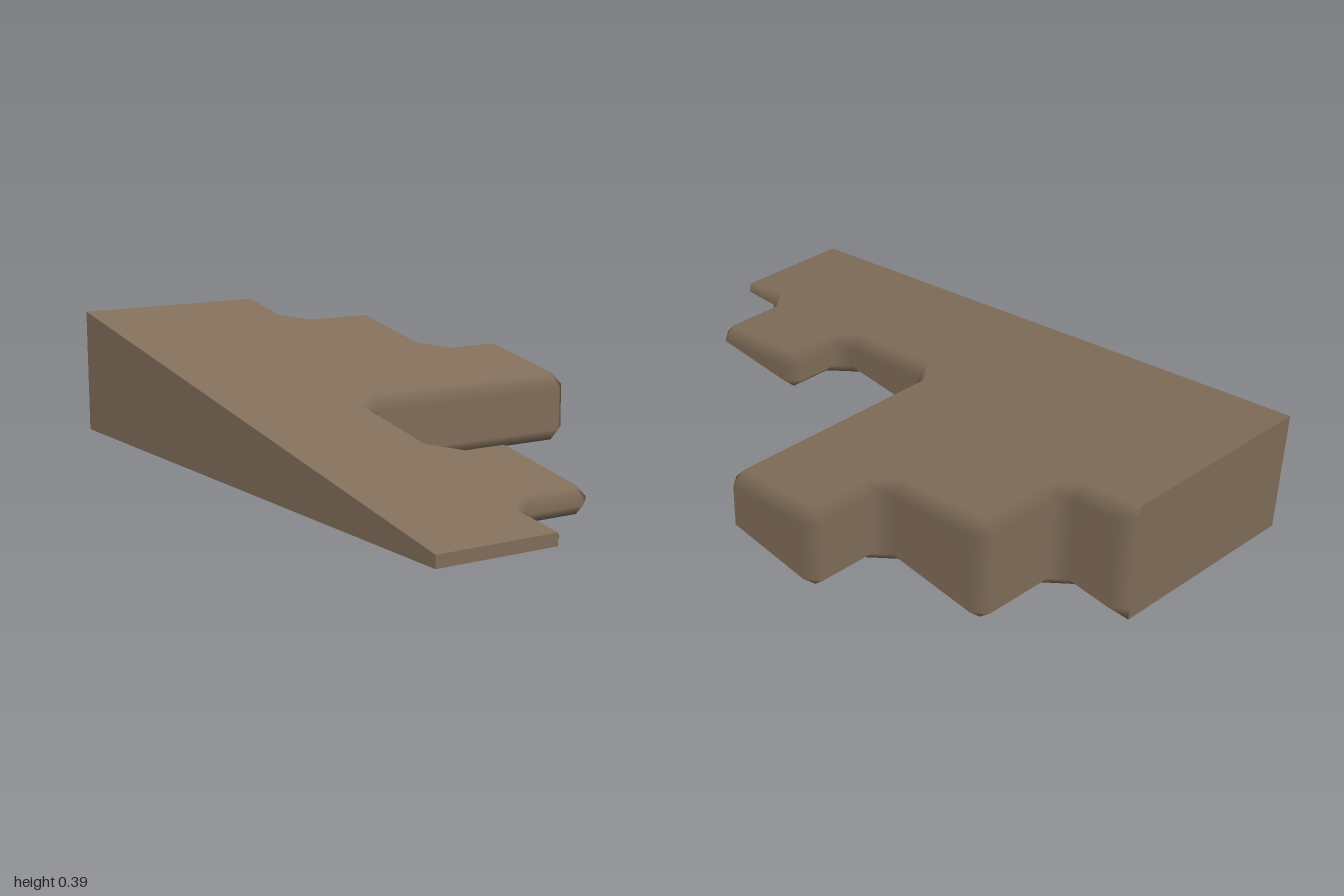
import * as THREE from 'three';

const LEFT = -0.598;      // x of the long straight side
const CHAMFER = 0.04;     // edge bevel size
const top = (z) => 0.2125 - 0.1775 * z; // sloping top surface

// Sharp corners [x, z] of the stepped side, from back to front
const STEPS = [
  [0.05, -1], [0.05, -0.77], [0.345, -0.77], [0.345, -0.375], [0.598, -0.375], [0.598, 0.015],
  [-0.165, 0.015], [-0.165, 0.415], [0.05, 0.415], [0.05, 0.805], [-0.215, 0.805], [-0.215, 1],
];

// Each wall gives two points, trimmed at its corners, carrying the wall's outward normal
function outline() {
  const points = [{ x: 0.01, z: -1, nx: 0, nz: -1, inset: 0 }];
  const last = STEPS.length - 2;
  for (let i = 0; i <= last; i++) {
    const [ax, az] = STEPS[i], [bx, bz] = STEPS[i + 1];
    const dx = Math.sign(bx - ax), dz = Math.sign(bz - az);
    const end = i === last ? 0.016 : CHAMFER;
    const wall = { nx: dz, nz: -dx, inset: 1 };
    points.push({ x: ax + dx * CHAMFER, z: az + dz * CHAMFER, ...wall });
    points.push({ x: bx - dx * end, z: bz - dz * end, ...wall });
  }
  points.push({ x: -0.231, z: 1, nx: 0, nz: 1, inset: 0 });
  return points;
}

function rampGeometry() {
  const positions = [], normals = [];
  const vertex = (x, y, z, n) => ({ p: [x, y, z], n });
  const quad = (a, b, c, d) => {
    for (const v of [a, b, c, a, c, d]) {
      positions.push(...v.p);
      normals.push(...v.n);
    }
  };
  const up = new THREE.Vector3(0, 1, 0.1775).normalize().toArray();
  const down = [0, -1, 0];

  // Four-point section at each outline point: bottom, lower wall, upper wall, top
  const sections = outline().map(({ x, z, nx, nz, inset }) => {
    const b = Math.min(CHAMFER, top(z) * 0.45);
    const ix = x - nx * b * inset, iz = z - nz * b * inset;
    const side = [nx, 0, nz];
    return [
      vertex(ix, 0, iz, down),
      vertex(x, b, z, side),
      vertex(x, top(z) - b, z, side),
      vertex(ix, top(iz), iz, up),
    ];
  });

  for (let i = 0; i < sections.length - 1; i++) {
    const s = sections[i], t = sections[i + 1];
    // Bevelled wall
    for (let k = 0; k < 3; k++) quad(s[k], s[k + 1], t[k + 1], t[k]);
    // Strips of the top and the underside
    const z0 = s[3].p[2], z1 = t[3].p[2];
    quad(vertex(LEFT, top(z0), z0, up), vertex(LEFT, top(z1), z1, up), t[3], s[3]);
    quad(vertex(LEFT, 0, z0, down), s[0], t[0], vertex(LEFT, 0, z1, down));
  }

  // Straight side and the two flat ends
  const flat = (n, ...corners) => quad(...corners.map(([x, y, z]) => vertex(x, y, z, n)));
  const backX = sections[0][0].p[0], frontX = sections[sections.length - 1][0].p[0];
  flat([-1, 0, 0], [LEFT, 0, -1], [LEFT, 0, 1], [LEFT, top(1), 1], [LEFT, top(-1), -1]);
  flat([0, 0, -1], [LEFT, 0, -1], [LEFT, top(-1), -1], [backX, top(-1), -1], [backX, 0, -1]);
  flat([0, 0, 1], [LEFT, 0, 1], [frontX, 0, 1], [frontX, top(1), 1], [LEFT, top(1), 1]);

  const geometry = new THREE.BufferGeometry();
  geometry.setAttribute('position', new THREE.Float32BufferAttribute(positions, 3));
  geometry.setAttribute('normal', new THREE.Float32BufferAttribute(normals, 3));
  return geometry;
}

export function createModel() {
  const brown = new THREE.MeshStandardMaterial({ color: 0x84705c });
  brown.name = 'earth brown';

  const ramp = new THREE.Mesh(rampGeometry(), brown);
  ramp.name = 'steppedRamp';

  const model = new THREE.Group();
  model.name = 'rampEdge';
  model.add(ramp);
  return model;
}
